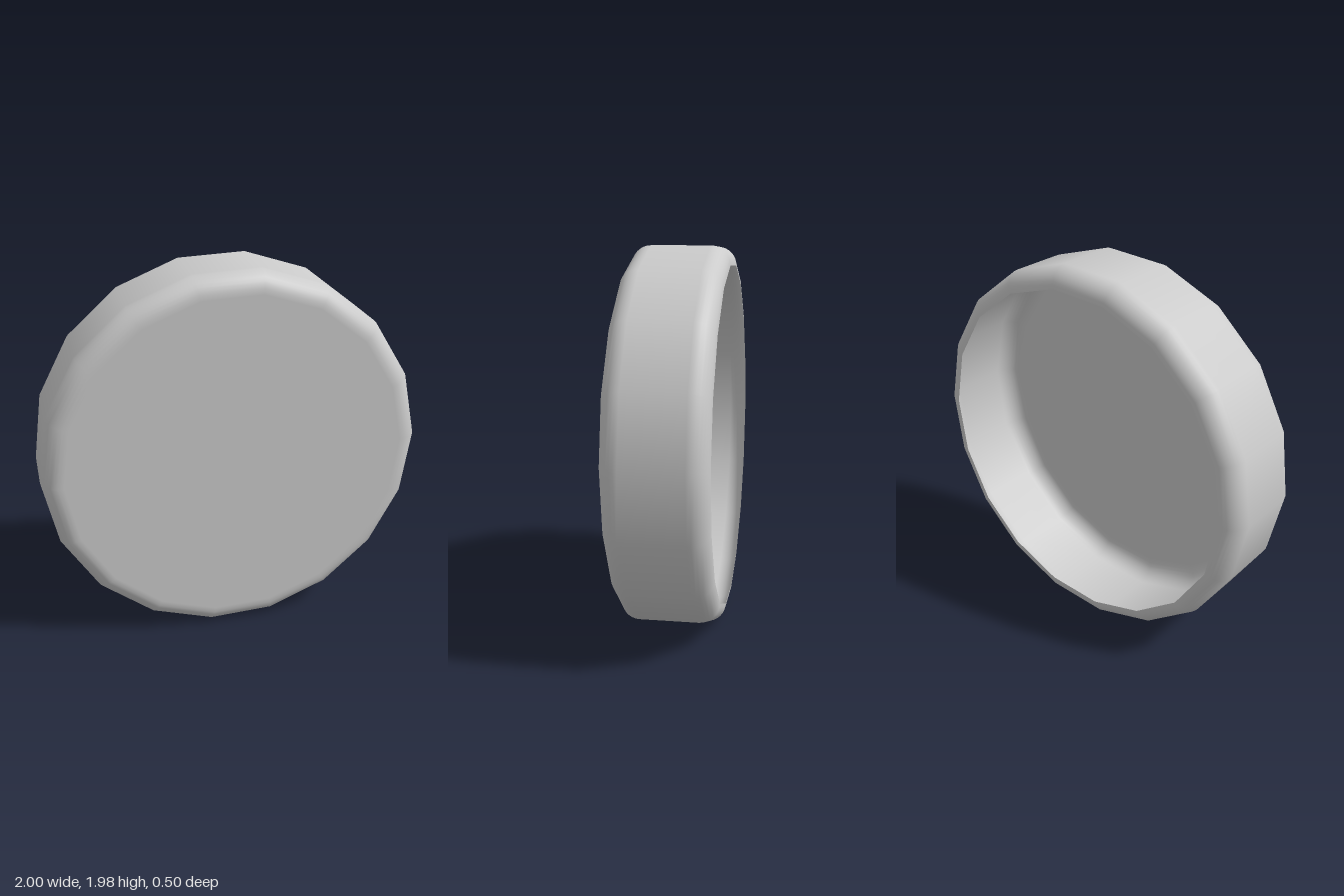
import * as THREE from 'three';

export function createModel() {
  const group = new THREE.Group();
  const R = 1, half = 0.25, fillet = 0.1, steps = 8;

  // Profile from the open back lip, along the wall, to the centre of the front face
  const profile = [];
  const addFillet = (y, from) => {
    for (let i = 0; i <= steps; i++) {
      const a = from + (i / steps) * Math.PI / 2;
      profile.push(new THREE.Vector2(R - fillet + Math.cos(a) * fillet, y + Math.sin(a) * fillet));
    }
  };
  addFillet(-half + fillet, -Math.PI / 2);
  addFillet(half - fillet, 0);
  profile.push(new THREE.Vector2(R - fillet - 0.01, half), new THREE.Vector2(0, half));

  // Shallow 18-sided cap, open at the back and turned to face the front
  const geometry = new THREE.LatheGeometry(profile, 18, THREE.MathUtils.degToRad(12));
  geometry.rotateX(Math.PI / 2);
  const material = new THREE.MeshStandardMaterial({ color: 0xcccccc, side: THREE.DoubleSide });
  const cap = new THREE.Mesh(geometry, material);
  cap.name = 'roundCap';
  cap.position.y = R * Math.sin(THREE.MathUtils.degToRad(82));
  group.add(cap);

  return group;
}
